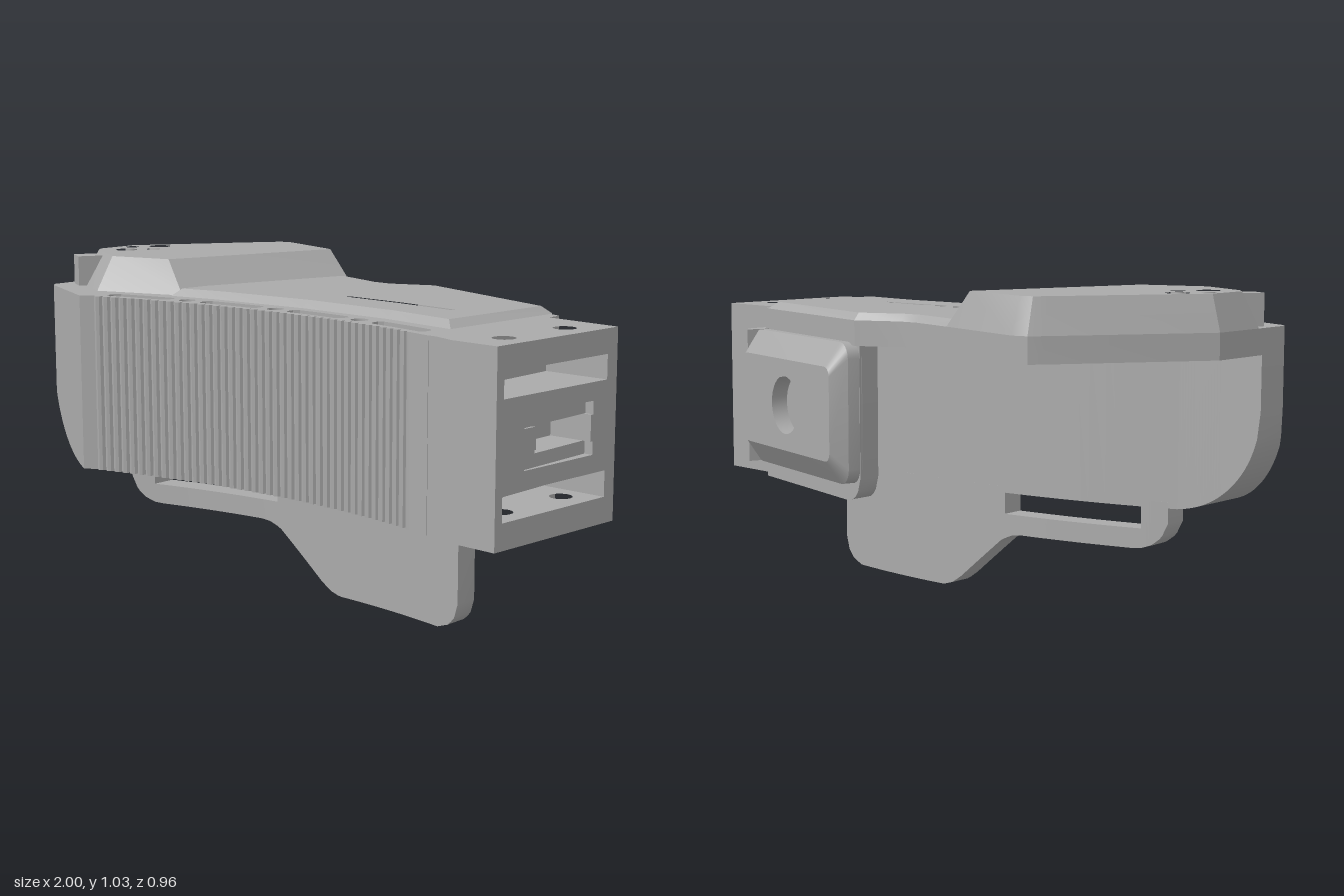
import * as THREE from 'three';
import { toCreasedNormals } from 'three/addons/utils/BufferGeometryUtils.js';

const grey = new THREE.MeshStandardMaterial({ color: 0xaaaaaa });
grey.name = 'grey';

export function createModel() {
  const model = new THREE.Group();

  const add = (name, geo, parent = model) => {
    geo.deleteAttribute('uv');
    geo.computeVertexNormals();
    const mesh = new THREE.Mesh(toCreasedNormals(geo, 0.5), grey);
    mesh.name = name;
    parent.add(mesh);
    return mesh;
  };

  // Extruded outline; an optional second outline reshapes the far end into a chamfer
  const loft = (pts, depth, holes = [], endPts = null) => {
    const vec = (list) => list.map(([x, y]) => new THREE.Vector2(x, y));
    const shape = new THREE.Shape(vec(pts));
    shape.holes = holes.map((h) => new THREE.Path(vec(h)));
    const geo = new THREE.ExtrudeGeometry(shape, { depth, bevelEnabled: false });
    const p = geo.attributes.position;
    for (let i = 0; endPts && i < p.count; i++) {
      if (p.getZ(i) < depth / 2) continue;
      const k = pts.findIndex(([x, y]) => Math.hypot(x - p.getX(i), y - p.getY(i)) < 1e-5);
      if (k >= 0) p.setXY(i, endPts[k][0], endPts[k][1]);
    }
    return geo;
  };

  // Plan outline given as [x, z], raised from y0 to y1
  const flip = (list) => list.map(([x, z]) => [x, -z]);
  const plan = (pts, y0, y1, holes = [], top = null) =>
    loft(flip(pts), y1 - y0, holes.map(flip), top && flip(top)).rotateX(-Math.PI / 2).translate(0, y0, 0);

  const circle = (x, y, r, n = 20) => Array.from({ length: n }, (_, i) => {
    const a = (i / n) * Math.PI * 2;
    return [x + r * Math.cos(a), y + r * Math.sin(a)];
  });

  // Upright slab swept along x between four boundary curves
  const slab = (x0, x1, n, lo, hi, front, back) => {
    const pos = [], idx = [];
    for (let i = 0; i <= n; i++) {
      const x = x0 + (x1 - x0) * i / n;
      pos.push(x, lo(x), front(x), x, lo(x), back(x), x, hi, back(x), x, hi, front(x));
      for (let k = 0; k < 4 && i < n; k++) {
        const a = i * 4 + k, b = i * 4 + (k + 1) % 4;
        idx.push(a, b, b + 4, a, b + 4, a + 4);
      }
    }
    const e = n * 4;
    idx.push(0, 2, 1, 0, 3, 2, e, e + 1, e + 2, e, e + 2, e + 3);
    const geo = new THREE.BufferGeometry();
    geo.setAttribute('position', new THREE.Float32BufferAttribute(pos, 3));
    geo.setIndex(idx);
    return geo;
  };

  // Piecewise linear curve through [x, value] points
  const curve = (pts) => (x) => {
    let i = 0;
    while (i < pts.length - 2 && x > pts[i + 1][0]) i++;
    const [a, b] = [pts[i], pts[i + 1]];
    const t = Math.min(1, Math.max(0, (x - a[0]) / (b[0] - a[0])));
    return a[1] + (b[1] - a[1]) * t;
  };

  const BOTTOM = 0.34, TOP = 0.92;
  const arc = (x) => 0.33 + 0.19 * (x - 0.15) ** 2;
  const backArc = (x) => arc(x) - 0.25;

  // Grip wall with vertical ridges along its curved front
  const wall = [[-0.7, 0.475]];
  const ridges = 43, pitch = 1.29 / ridges;
  for (let i = 0; i < ridges; i++) {
    const x = -0.66 + i * pitch;
    [[0, -0.012], [0.2, 0], [0.5, 0.004], [0.8, 0]].forEach(([t, d]) =>
      wall.push([x + t * pitch, arc(x + t * pitch) + d]));
  }
  wall.push([0.64, arc(0.64)], [0.7, arc(0.7)]);
  for (let i = 0; i <= 24; i++) wall.push([0.7 - i * 1.4 / 24, backArc(0.7 - i * 1.4 / 24)]);

  // Rows of vertical holes, grouped in sunken slots
  const row = (x) => arc(x) - 0.055;
  const singles = [-0.35, 0, 0.35].map((x) => circle(x, row(x), 0.027));
  const slotX = [-0.525, -0.175, 0.175, 0.53];
  const smalls = slotX.flatMap((c) => [-1.5, -0.5, 0.5, 1.5].map((k) =>
    circle(c + k * 0.054, row(c + k * 0.054), 0.021, 16)));
  const slots = slotX.map((c) => {
    const side = (s) => [-0.115, -0.1, 0, 0.1, 0.115].map((d) =>
      [c + d, row(c + d) + s * (Math.abs(d) > 0.11 ? 0.014 : 0.027)]);
    return [...side(-1), ...side(1).reverse()];
  });
  add('gripWall', plan(wall, BOTTOM, 0.9, [...singles, ...smalls]));
  add('gripWallTop', plan(wall, 0.9, TOP, [...singles, ...slots]));

  // Outer end of the grip with a rounded lower corner
  const corner = (x) => 0.67 - Math.sqrt(Math.max(0, 0.33 ** 2 - Math.min(0, x + 0.67) ** 2));
  add('gripEnd', slab(-1, -0.7, 28, corner, TOP, curve([[-1, 0.33], [-0.98, 0.352], [-0.7, 0.475]]),
    curve([[-1, 0.21], [-0.7, 0.217]])));

  // Mounting block in layers, so the side pockets and bolt holes stay open
  const face = (z) => 1 - (z + 0.115) * 0.066;
  const block = (notch) => [[0.69, -0.14], [1, -0.115], ...notch, [0.965, 0.415], [0.8, 0.41], [0.73, 0.387], [0.69, 0.385]];
  const pocket = (z0, z1, x) => block([[face(z0), z0], [x, z0], [x, z1], [face(z1), z1]]);
  const bolts = [circle(0.9, 0.01, 0.035), circle(0.885, 0.28, 0.035)];
  const long = pocket(-0.07, 0.385, 0.78);
  const square = pocket(-0.01, 0.295, 0.965);
  const deep = pocket(0.0, 0.25, 0.85);
  [[0.34, 0.42, block([]), bolts], [0.42, 0.5, long], [0.5, 0.555, block([])], [0.555, 0.595, square],
    [0.595, 0.675, deep], [0.675, 0.715, square], [0.715, 0.77, block([])], [0.77, 0.845, long],
    [0.845, 0.92, block([]), bolts]]
    .forEach(([y0, y1, pts, holes]) => add('mountBlock', plan(pts, y0, y1, holes)));
  add('catch', new THREE.BoxGeometry(0.08, 0.08, 0.05).translate(0.9, 0.635, 0.22));

  // Curved tab under the grip, with a strap slot
  const tabLow = curve([[-0.67, 0.29], [-0.65, 0.245], [-0.62, 0.22], [-0.58, 0.205], [-0.14, 0.205], [-0.09, 0.185],
    [0.08, 0.04], [0.12, 0.012], [0.16, 0], [0.59, 0], [0.64, 0.018], [0.665, 0.045], [0.68, 0.09]]);
  const tabFront = (x) => arc(x) - 0.17;
  const tab = new THREE.Group();
  tab.name = 'lowerTab';
  model.add(tab);
  add('tabEnd', slab(-0.67, -0.585, 10, tabLow, 0.36, tabFront, backArc), tab);
  add('tabRail', slab(-0.585, -0.1, 16, tabLow, 0.27, tabFront, backArc), tab);
  add('tabPlate', slab(-0.1, 0.68, 52, tabLow, 0.36, tabFront, backArc), tab);

  // Top cover bridging the grip and the rear plate
  const window_ = [[-0.08, 0.05], [-0.05, -0.08], [-0.02, -0.1], [0.2, -0.098], [0.38, -0.085], [0.53, -0.065],
    [0.555, -0.04], [0.545, 0.045], [0.52, 0.065], [0.3, 0.048], [0.1, 0.045], [-0.06, 0.055]];
  const big = [circle(-0.87, -0.04, 0.037), circle(-0.87, 0.115, 0.037)];
  const little = [circle(-0.925, 0.04, 0.023, 16), circle(-0.815, 0.04, 0.023, 16)];
  add('coverBase', plan([[-1, -0.01], [-0.7, -0.44], [-0.67, -0.475], [-0.62, -0.485], [-0.27, -0.375], [-0.1, -0.325],
    [-0.03, -0.325], [0.11, -0.385], [0.69, -0.21], [0.69, 0.17], [-0.3, 0.2], [-0.9, 0.22], [-1, 0.21]],
  0.84, TOP, [window_, ...big]));
  add('coverTop', plan(
    [[-0.4, -0.4], [-0.27, -0.375], [-0.1, -0.325], [-0.03, -0.325], [0.11, -0.385], [0.7, -0.21], [0.67, 0.25],
      [0.4, 0.215], [0.05, 0.21], [-0.3, 0.245], [-0.47, 0.28]], TOP, 0.943, [window_],
    [[-0.4, -0.38], [-0.27, -0.355], [-0.1, -0.305], [-0.03, -0.305], [0.11, -0.365], [0.67, -0.19], [0.64, 0.22],
      [0.4, 0.185], [0.05, 0.18], [-0.3, 0.215], [-0.45, 0.25]]));
  add('coverRaised', plan(
    [[-1, -0.01], [-0.7, -0.44], [-0.67, -0.475], [-0.62, -0.485], [-0.27, -0.375], [-0.45, 0.25], [-0.75, 0.355],
      [-0.95, 0.25], [-1, 0.19]], TOP, 1.03, [...big, ...little],
    [[-0.965, 0], [-0.685, -0.41], [-0.66, -0.44], [-0.62, -0.448], [-0.36, -0.37], [-0.54, 0.225], [-0.75, 0.285],
      [-0.93, 0.19], [-0.965, 0.15]]));
  add('clip', new THREE.BoxGeometry(0.075, 0.11, 0.09).rotateY(-0.5).translate(-0.91, 0.965, 0.25));

  // Rear plate, hanging from the cover and joining the block
  const plateBack = (x) => -0.37 + (x - 0.11) * 0.29;
  add('rearPlate', slab(0.1, 0.74, 40, curve([[0.1, 0.42], [0.116, 0.375], [0.14, 0.35], [0.18, 0.34], [0.74, 0.34]]),
    TOP, (x) => plateBack(x) + 0.08, plateBack));

  // Chamfered rear pad with a round recess
  const roundRect = (w, h, r) => [[1, 1, 0], [-1, 1, 1], [-1, -1, 2], [1, -1, 3]].flatMap(([sx, sy, q]) =>
    Array.from({ length: 6 }, (_, i) => {
      const a = (q + i / 5) * Math.PI / 2;
      return [sx * (w - r) + r * Math.cos(a), sy * (h - r) + r * Math.sin(a)];
    }));
  const pad = new THREE.Group();
  pad.name = 'rearPad';
  pad.position.set(0.45, 0.625, -0.37);
  pad.rotation.y = Math.PI - 0.284;
  model.add(pad);
  const outer = roundRect(0.335, 0.225, 0.05);
  add('padBase', loft(outer, 0.05).translate(0, 0, -0.105), pad);
  add('padFace', loft(outer, 0.055, [circle(0, 0, 0.095, 32)], roundRect(0.31, 0.15, 0.03)).translate(0, 0, -0.055), pad);
  add('padReturn', plan([[0.715, -0.2], [0.74, -0.27], [0.77, -0.24], [0.77, -0.14], [0.725, -0.14]], 0.4, 0.85));

  return model;
}
